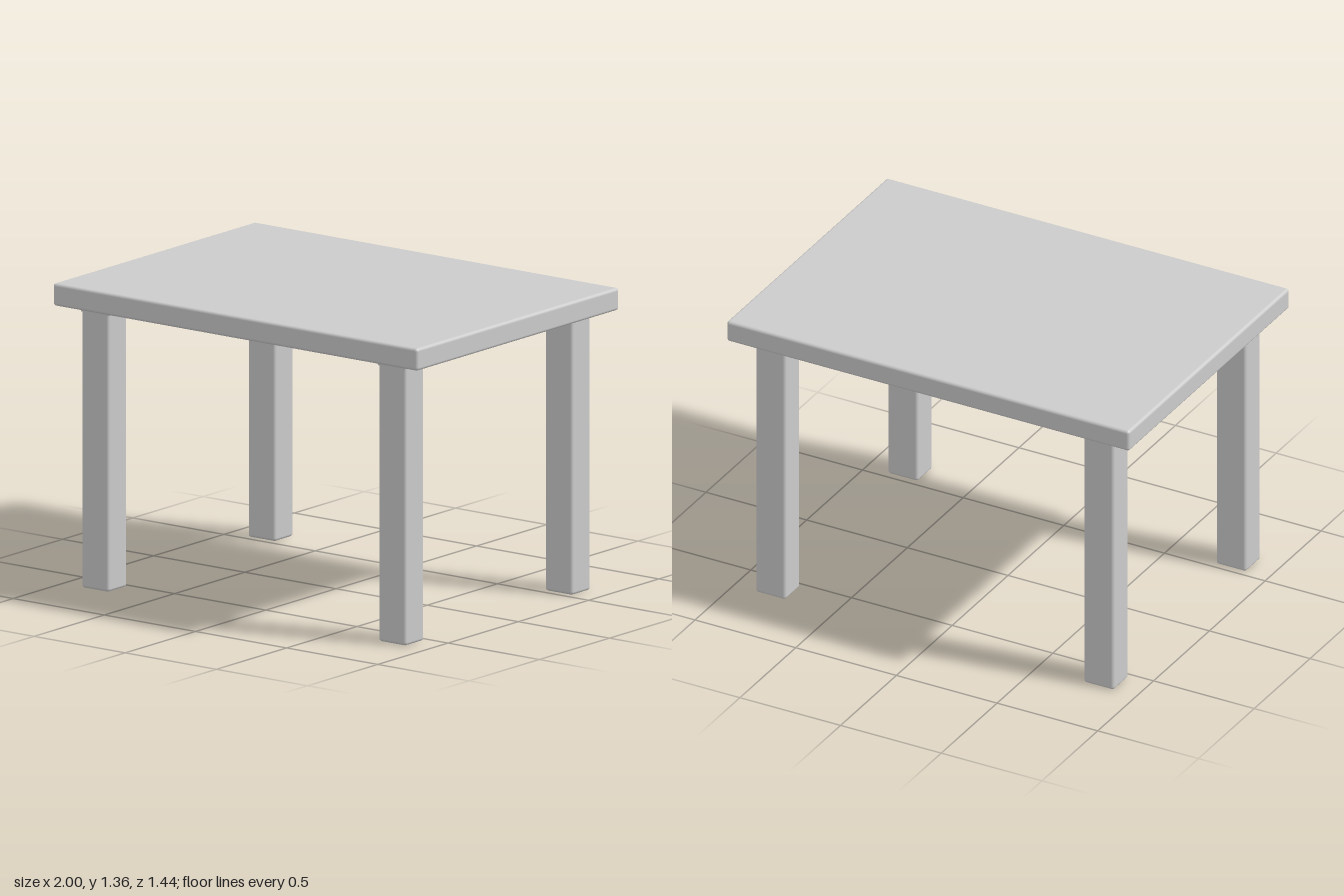
import * as THREE from 'three';
import { RoundedBoxGeometry } from 'three/addons/geometries/RoundedBoxGeometry.js';

const LEG = { w: 0.15, d: 0.135, x: 0.815, z: 0.5925, h: 1.275 };
const TOP = { w: 2, h: 0.1, d: 1.44, y: 1.255 };

// Shallow concave flare where a leg meets the underside; reaches further inwards
function collarGeometry(sx, sz) {
  const h = 0.022;
  const geo = new THREE.BoxGeometry(LEG.w, h, LEG.d, 1, 5, 1);
  const p = geo.attributes.position;
  for (let i = 0; i < p.count; i++) {
    const t = (p.getY(i) / h + 0.5) ** 3;
    const dx = Math.sign(p.getX(i)), dz = Math.sign(p.getZ(i));
    p.setX(i, p.getX(i) + dx * t * (dx === sx ? 0.018 : 0.09));
    p.setZ(i, p.getZ(i) + dz * t * (dz === sz ? 0.01 : 0.035));
  }
  geo.computeVertexNormals();
  geo.translate(0, TOP.y - h / 2 + 0.001, 0);
  return geo;
}

export function createModel() {
  const model = new THREE.Group();
  model.name = 'table';
  const material = new THREE.MeshStandardMaterial({ color: 0xcccccc });

  const add = (name, geometry, parent, x, y, z) => {
    const mesh = new THREE.Mesh(geometry, material);
    mesh.name = name;
    mesh.position.set(x, y, z);
    parent.add(mesh);
  };

  // Softly rounded slab
  add('tableTop', new RoundedBoxGeometry(TOP.w, TOP.h, TOP.d, 4, 0.014), model, 0, TOP.y + TOP.h / 2, 0);

  // Four legs, their upper ends sunk into the slab
  const legGeometry = new RoundedBoxGeometry(LEG.w, LEG.h, LEG.d, 4, 0.014);
  for (const sx of [-1, 1]) {
    for (const sz of [-1, 1]) {
      const leg = new THREE.Group();
      leg.name = (sz > 0 ? 'front' : 'back') + (sx > 0 ? 'Left' : 'Right') + 'Leg';
      leg.position.set(sx * LEG.x, 0, sz * LEG.z);
      add('legPost', legGeometry, leg, 0, LEG.h / 2, 0);
      add('legCollar', collarGeometry(sx, sz), leg, 0, 0, 0);
      model.add(leg);
    }
  }
  return model;
}
